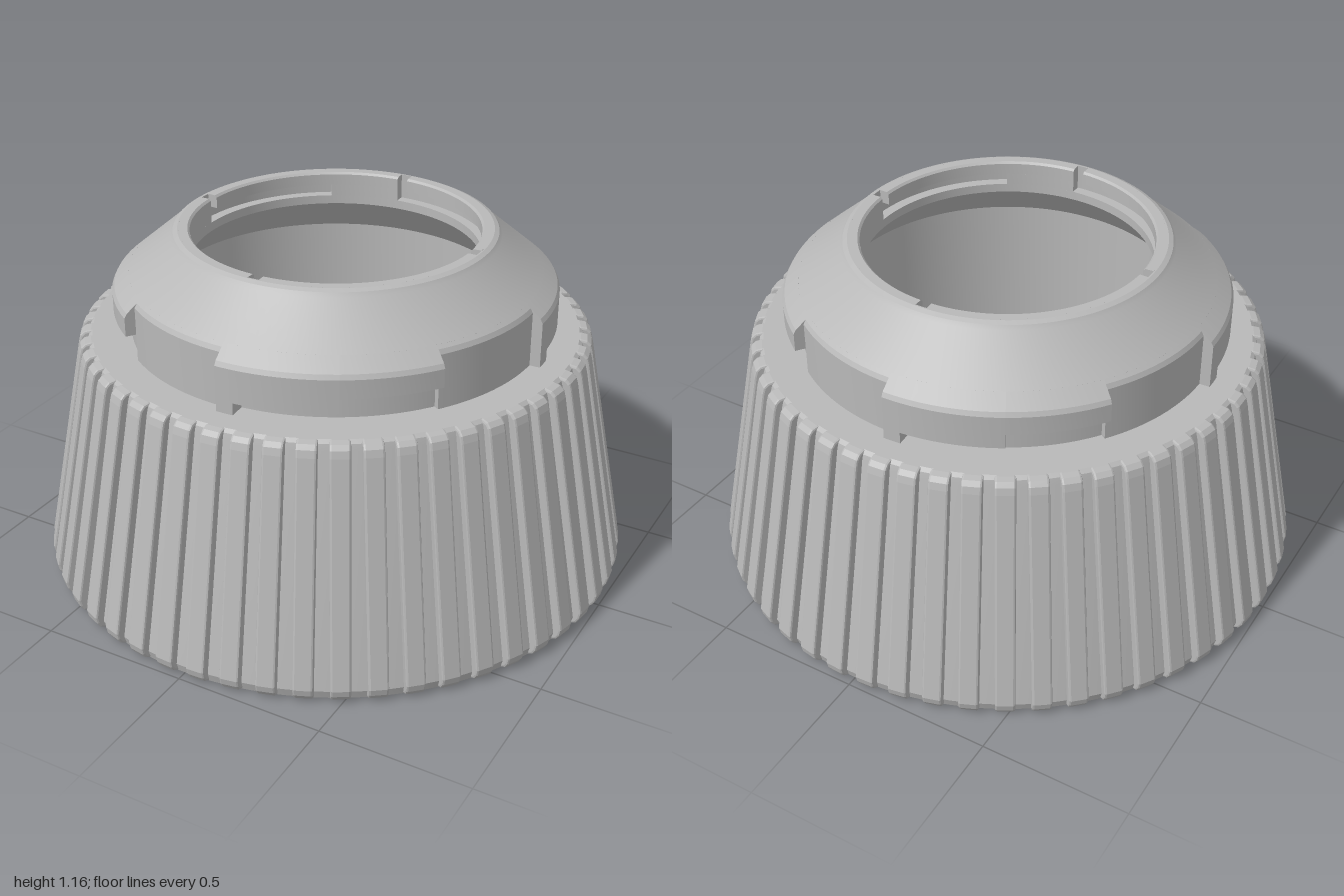
import * as THREE from 'three';
import { mergeGeometries, toCreasedNormals } from 'three/addons/utils/BufferGeometryUtils.js';

const RIBS = 54;
const rad = THREE.MathUtils.degToRad;
const vecs = (pts) => pts.map(([r, y]) => new THREE.Vector2(r, y));

// Solid of revolution; the closed profile runs counter-clockwise in (radius, height)
function ring(profile) {
  return toCreasedNormals(new THREE.LatheGeometry(vecs([...profile, profile[0]]), 128), 0.35);
}

// Part of a revolved solid between two angles (degrees, from +z towards +x), with end caps
function sector(profile, from, to) {
  const a = rad(from), b = rad(to);
  const segs = Math.max(2, Math.ceil((to - from) / 3));
  const side = new THREE.LatheGeometry(vecs([...profile, profile[0]]), segs, a, b - a);
  const cap = (angle, flip) => {
    const g = new THREE.ShapeGeometry(new THREE.Shape(vecs(profile)));
    if (flip) g.setIndex(Array.from(g.index.array).reverse());
    return g.rotateY(angle - Math.PI / 2);
  };
  return toCreasedNormals(mergeGeometries([side, cap(a, false), cap(b, true)]), 0.35);
}

// Height of the sloping shoulder at a given radius
const shoulderY = (r) => 1.145 - ((r - 0.54) / 0.195) * 0.165;

// Piece of the collar wall hanging from the shoulder down to a given height
function wallProfile(outer, bottom) {
  const inner = 0.68;
  return [[inner, bottom], [outer, bottom], [outer, shoulderY(outer) - 0.008],
    [outer - 0.008, shoulderY(outer - 0.008)], [inner, shoulderY(inner)]];
}

export function createModel() {
  const model = new THREE.Group();
  model.name = 'ribbedCollar';
  const grey = new THREE.MeshStandardMaterial({ color: 0xb8b8b8 });
  grey.name = 'grey';
  const add = (geometry, name, parent = model) => {
    const mesh = new THREE.Mesh(geometry, grey);
    mesh.name = name;
    parent.add(mesh);
    return mesh;
  };

  // Tapered body, collar core and stepped bore in one turned profile
  add(ring([
    [0.56, 0], [0.965, 0], [0.974, 0.03], [0.828, 0.79], [0.822, 0.81], [0.81, 0.82],
    [0.68, 0.82], [0.68, shoulderY(0.68)], [0.54, 1.145], [0.53, 1.158], [0.515, 1.165],
    [0.51, 1.165], [0.51, 1.08], [0.475, 1.08], [0.475, 1.05],
    [0.58, 0.93], [0.58, 0.4], [0.56, 0.39],
  ]), 'body');

  // Grip ribs around the body, rounded at both ends
  const ribWidth = 0.064, bevel = 0.007;
  const ribShape = new THREE.Shape(vecs([
    [0.9, 0], [0.965, 0], [0.984, 0.01], [0.995, 0.027], [1, 0.05],
    [0.857, 0.78], [0.85, 0.803], [0.836, 0.816], [0.815, 0.82], [0.78, 0.82],
  ]));
  const ribGeometry = new THREE.ExtrudeGeometry(ribShape, {
    depth: ribWidth - 2 * bevel, bevelThickness: bevel, bevelSize: bevel,
    bevelOffset: -bevel, bevelSegments: 2,
  }).translate(0, 0, bevel - ribWidth / 2);
  const ribs = new THREE.Group();
  ribs.name = 'gripRibs';
  model.add(ribs);
  for (let i = 0; i < RIBS; i++) {
    add(ribGeometry, 'rib', ribs).rotation.y = (i / RIBS) * Math.PI * 2;
  }

  // Four repeats of the outer bayonet lug and the slotted inner lip
  const parts = [
    ['lugStop', sector(wallProfile(0.735, 0.82), 0, 4.5)],
    ['lugThick', sector(wallProfile(0.735, 0.86), 4.5, 30)],
    ['lugThin', sector(wallProfile(0.735, 0.91), 30, 55)],
    ['entryWall', sector(wallProfile(0.7, 0.82), 55, 90)],
    ['innerLip', sector([[0.475, 1.12], [0.51, 1.12], [0.51, 1.165], [0.482, 1.165], [0.475, 1.158]], 2.2, 87.8)],
    ['innerSlotEnd', sector([[0.475, 1.08], [0.51, 1.08], [0.51, 1.12], [0.475, 1.12]], 2.2, 31)],
  ];
  for (let q = 0; q < 4; q++) {
    const quarter = new THREE.Group();
    quarter.name = 'collarQuarter';
    quarter.rotation.y = q * Math.PI / 2;
    for (const [name, geometry] of parts) add(geometry, name, quarter);
    model.add(quarter);
  }
  return model;
}
